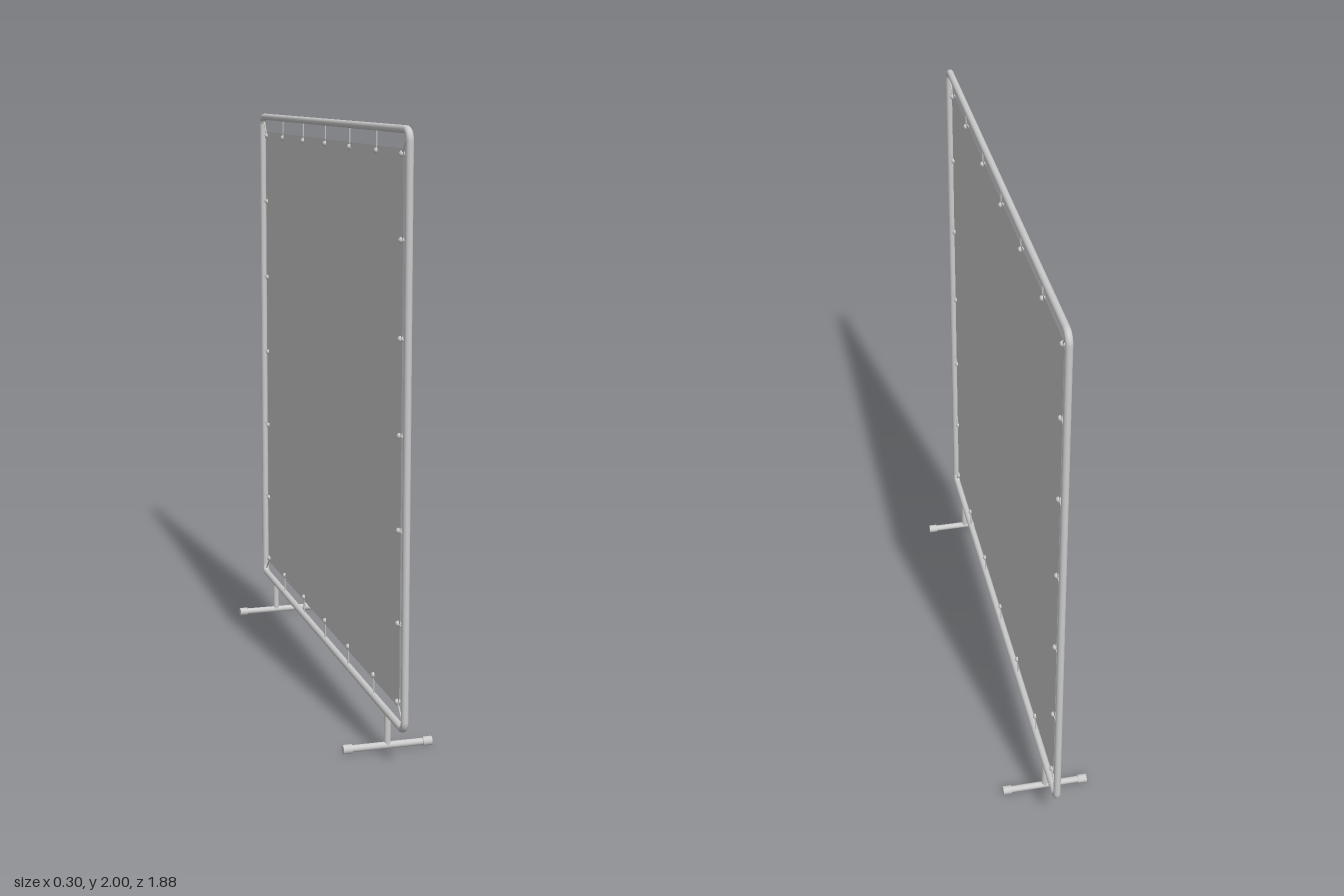
import * as THREE from 'three';

const MID_Y = 1.057;      // height of the frame centre
const HALF = 0.93;        // half size of the tube centre line
const TUBE = 0.012;
const SHEET = 0.873;      // half size of the sheet
const EYE = 0.857;        // eyelet distance from the centre

const steel = new THREE.MeshStandardMaterial({ color: 0xcccccc });
const cloth = new THREE.MeshStandardMaterial({ color: 0xcccccc, side: THREE.DoubleSide });

function add(parent, name, geometry, material = steel) {
  const mesh = new THREE.Mesh(geometry, material);
  mesh.name = name;
  parent.add(mesh);
  return mesh;
}

// round bar between two points
function bar(parent, name, a, b, radius, sides = 16) {
  const dir = b.clone().sub(a);
  const mesh = add(parent, name, new THREE.CylinderGeometry(radius, radius, dir.length(), sides));
  mesh.position.copy(a).add(b).multiplyScalar(0.5);
  mesh.quaternion.setFromUnitVectors(new THREE.Vector3(0, 1, 0), dir.normalize());
  return mesh;
}

export function createModel() {
  const model = new THREE.Group();
  model.name = 'screenStand';
  const at = (z, y) => new THREE.Vector3(0, MID_Y + y, z);

  // square tube frame: four straight bars and four quarter bends
  const frame = new THREE.Group();
  frame.name = 'frame';
  frame.position.y = MID_Y;
  model.add(frame);
  const bend = 0.032;
  const straight = HALF - bend;
  for (let i = 0; i < 4; i++) {
    const side = new THREE.Group();
    side.name = 'frameSide';
    side.rotation.x = (i * Math.PI) / 2;
    frame.add(side);
    bar(side, 'frameTube', new THREE.Vector3(0, HALF, -straight), new THREE.Vector3(0, HALF, straight), TUBE);
    const corner = add(side, 'frameBend', new THREE.TorusGeometry(bend, TUBE, 16, 10, Math.PI / 2));
    corner.rotation.y = -Math.PI / 2;
    corner.position.set(0, straight, straight);
  }

  // stretched sheet
  const sheet = add(model, 'sheet', new THREE.PlaneGeometry(2 * SHEET, 2 * SHEET), cloth);
  sheet.rotation.y = Math.PI / 2;
  sheet.position.y = MID_Y;

  // cords with a ball at each eyelet
  const tie = (z, y, frameZ, frameY) => {
    const ball = add(model, 'tieBall', new THREE.SphereGeometry(0.01, 12, 8));
    ball.position.copy(at(z, y));
    bar(model, 'tieCord', at(z, y), at(frameZ, frameY), 0.0025, 6);
  };
  for (const s of [-1, 1]) {
    for (const t of [-0.6, -0.3, 0, 0.3, 0.6]) {
      tie(t, s * EYE, t, s * HALF);
      tie(s * EYE, t, s * HALF, t);
    }
    for (const u of [-1, 1]) tie(s * EYE, u * EYE, s * 0.922, u * 0.922);
  }

  // feet: upright, cross bar and end caps
  for (const s of [-1, 1]) {
    const foot = new THREE.Group();
    foot.name = 'foot';
    foot.position.set(0, 0.015, s * 0.753);
    model.add(foot);
    const p = (x, y) => new THREE.Vector3(x, y, 0);
    bar(foot, 'footUpright', p(0, 0), p(0, MID_Y - HALF - 0.015), 0.011);
    bar(foot, 'footBar', p(-0.14, 0), p(0.14, 0), 0.0115);
    for (const e of [-1, 1]) bar(foot, 'footCap', p(e * 0.12, 0), p(e * 0.15, 0), 0.015);
  }
  return model;
}
